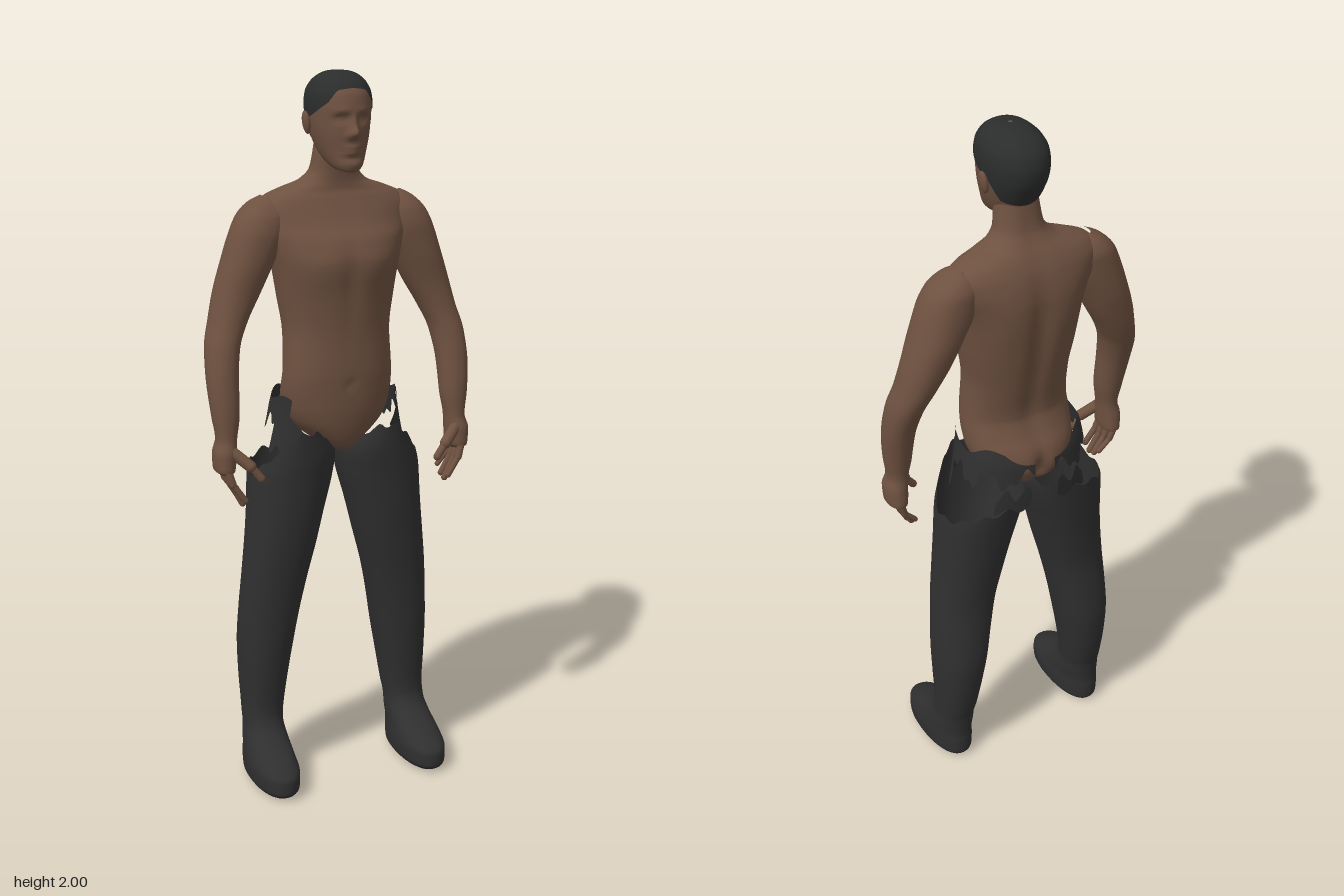
import * as THREE from 'three';

const skin = new THREE.MeshStandardMaterial({ color: 0x6e5140 });
skin.name = 'skin';
const cloth = new THREE.MeshStandardMaterial({ color: 0x2f2f2f, side: THREE.DoubleSide });
cloth.name = 'dark cloth';
const hairColour = new THREE.MeshStandardMaterial({ color: 0x2b2c2c, side: THREE.DoubleSide });
hairColour.name = 'hair';

// Cross-sections: [y, xMin, xMax, zBack, zFront]
const symmetric = rows => rows.map(([y, w, b, f]) => [y, -w, w, b, f]);

const TORSO = symmetric([
  [0.965, 0.006, -0.06, 0.02], [0.985, 0.05, -0.13, 0.05], [1.02, 0.1, -0.16, 0.067],
  [1.06, 0.138, -0.172, 0.077], [1.1, 0.152, -0.163, 0.083], [1.15, 0.156, -0.135, 0.086],
  [1.2, 0.154, -0.118, 0.088], [1.3, 0.15, -0.135, 0.086], [1.4, 0.163, -0.155, 0.092],
  [1.5, 0.18, -0.165, 0.101], [1.56, 0.197, -0.166, 0.085], [1.6, 0.212, -0.162, 0.057],
  [1.64, 0.218, -0.152, 0.036], [1.67, 0.195, -0.139, 0.022], [1.69, 0.15, -0.127, 0.013],
  [1.71, 0.095, -0.112, 0.012], [1.74, 0.067, -0.095, 0.015], [1.78, 0.06, -0.086, 0.02],
  [1.82, 0.055, -0.08, 0.02],
]);
const HEAD = symmetric([
  [1.742, 0.008, 0.05, 0.085], [1.748, 0.03, 0.02, 0.096], [1.765, 0.046, -0.03, 0.101],
  [1.8, 0.062, -0.075, 0.098], [1.84, 0.073, -0.1, 0.1], [1.88, 0.079, -0.117, 0.101],
  [1.91, 0.081, -0.121, 0.102], [1.94, 0.078, -0.115, 0.097], [1.965, 0.067, -0.097, 0.083],
  [1.985, 0.047, -0.066, 0.058], [1.994, 0.027, -0.04, 0.034], [1.997, 0.002, -0.005, 0.0],
]);
const ARM = [
  [1.675, 0.175, 0.2, -0.08, -0.04], [1.655, 0.145, 0.238, -0.11, -0.01], [1.62, 0.13, 0.272, -0.125, 0.015],
  [1.57, 0.14, 0.295, -0.126, 0.025], [1.5, 0.175, 0.318, -0.125, 0.025], [1.42, 0.215, 0.343, -0.115, 0.02],
  [1.35, 0.255, 0.36, -0.1, 0.025], [1.28, 0.285, 0.378, -0.075, 0.04], [1.2, 0.297, 0.383, -0.045, 0.055],
  [1.1, 0.302, 0.376, -0.02, 0.065], [1.04, 0.312, 0.368, -0.01, 0.065], [1, 0.315, 0.378, -0.015, 0.075],
  [0.955, 0.32, 0.375, -0.018, 0.075], [0.938, 0.335, 0.355, 0.01, 0.045],
].reverse();
const LEG = [
  [0, 0.222, 0.232, -0.02, 0.09], [0.003, 0.178, 0.278, -0.093, 0.162], [0.025, 0.162, 0.293, -0.108, 0.184],
  [0.06, 0.16, 0.295, -0.108, 0.182], [0.09, 0.163, 0.291, -0.105, 0.14], [0.125, 0.165, 0.285, -0.107, 0.07],
  [0.16, 0.167, 0.28, -0.11, 0.03], [0.2, 0.162, 0.28, -0.12, 0.017], [0.3, 0.147, 0.284, -0.138, 0.025],
  [0.4, 0.13, 0.286, -0.147, 0.035], [0.5, 0.112, 0.282, -0.14, 0.042], [0.6, 0.09, 0.275, -0.132, 0.05],
  [0.7, 0.064, 0.265, -0.138, 0.06], [0.8, 0.04, 0.256, -0.15, 0.068], [0.9, 0.014, 0.25, -0.163, 0.073],
  [0.96, 0.006, 0.235, -0.17, 0.078], [1.03, 0.04, 0.21, -0.178, 0.08], [1.1, 0.075, 0.19, -0.18, 0.082],
];
const WAIST = symmetric([
  [0.94, 0.215, -0.18, 0.08], [1.02, 0.195, -0.186, 0.085], [1.08, 0.183, -0.184, 0.089], [1.15, 0.172, -0.16, 0.092],
]);

// Smooth interpolation of the sections at height y, without overshoot
function sectionAt(keys, y) {
  let i = 0;
  while (i < keys.length - 2 && y > keys[i + 1][0]) i++;
  const h = keys[i + 1][0] - keys[i][0];
  const t = THREE.MathUtils.clamp((y - keys[i][0]) / h, 0, 1);
  return [1, 2, 3, 4].map(c => {
    const slope = k => (keys[k + 1][c] - keys[k][c]) / (keys[k + 1][0] - keys[k][0]);
    const tangent = k => {
      if (k === 0) return slope(0);
      if (k === keys.length - 1) return slope(k - 1);
      const a = slope(k - 1), b = slope(k);
      return a * b <= 0 ? 0 : 2 * a * b / (a + b);
    };
    const t2 = t * t, t3 = t2 * t;
    return (2 * t3 - 3 * t2 + 1) * keys[i][c] + (t3 - 2 * t2 + t) * h * tangent(i)
      + (3 * t2 - 2 * t3) * keys[i + 1][c] + (t3 - t2) * h * tangent(i + 1);
  });
}

// Skin over the sections; angle 0 is the front and 90 degrees is +x
function surface(keys, o = {}) {
  const { from = 0, to = 360, segments = 48, steps = 4, grow = 0, power = 2.2, deform } = o;
  const first = keys[0][0], last = keys[keys.length - 1][0];
  const low = o.low || (() => first), high = o.high || (() => last);
  const closed = to - from === 360, cols = closed ? segments : segments + 1;
  const rows = [0];
  for (let k = 0; k < keys.length - 1; k++) for (let s = 1; s <= steps; s++) {
    rows.push((keys[k][0] + (keys[k + 1][0] - keys[k][0]) * s / steps - first) / (last - first));
  }
  const round = v => Math.sign(v) * Math.abs(v) ** (2 / power);
  const positions = [], index = [], p = new THREE.Vector3();
  rows.forEach((r, j) => {
    for (let i = 0; i < cols; i++) {
      const deg = from + (to - from) * i / segments, a = deg * Math.PI / 180;
      const y = low(deg) + r * (high(deg) - low(deg));
      const [x0, x1, z0, z1] = sectionAt(keys, y);
      p.set((x0 + x1) / 2 + ((x1 - x0) / 2 + grow) * round(Math.sin(a)), y,
        (z0 + z1) / 2 + ((z1 - z0) / 2 + grow) * round(Math.cos(a)));
      if (deform) deform(p, Math.cos(a));
      positions.push(p.x, p.y, p.z);
      if (j && (closed || i < segments)) {
        const n = (i + 1) % cols, A = (j - 1) * cols, B = j * cols;
        index.push(A + i, A + n, B + n, A + i, B + n, B + i);
      }
    }
  });
  const g = new THREE.BufferGeometry();
  g.setAttribute('position', new THREE.Float32BufferAttribute(positions, 3));
  g.setIndex(index);
  g.computeVertexNormals();
  return g;
}

function mirrored(geometry) {
  const g = geometry.clone().scale(-1, 1, 1), ix = g.index.array;
  for (let i = 0; i < ix.length; i += 3) [ix[i], ix[i + 1]] = [ix[i + 1], ix[i]];
  g.computeVertexNormals();
  return g;
}

// Rounded rod between two points
function rod(a, b, radius) {
  const A = new THREE.Vector3(...a), d = new THREE.Vector3(...b).sub(A);
  const q = new THREE.Quaternion().setFromUnitVectors(new THREE.Vector3(0, 1, 0), d.clone().normalize());
  return new THREE.CapsuleGeometry(radius, d.length(), 5, 12).applyQuaternion(q)
    .translate(A.x + d.x / 2, A.y + d.y / 2, A.z + d.z / 2);
}

const bump = (x, y, cx, cy, w, h) => Math.exp(-(((x - cx) / w) ** 2) - ((y - cy) / h) ** 2);

// Chest, navel and spine relief
function shapeTorso(p, front) {
  const x = Math.abs(p.x), { y } = p;
  if (front > 0) {
    p.z += front * (0.008 * bump(x, y, 0.085, 1.49, 0.06, 0.05) - 0.006 * bump(x, y, 0, 1.45, 0.02, 0.12)
      - 0.006 * bump(x, y, 0, 1.17, 0.012, 0.014));
  } else {
    p.z -= front * (0.016 * bump(x, y, 0, 1.4, 0.028, 0.24) + 0.03 * bump(x, y, 0, 1.03, 0.016, 0.05)
      - 0.008 * bump(x, y, 0.1, 1.52, 0.05, 0.08));
  }
}

// Nose, brow, eye sockets, lips and cheeks
function shapeFace(p, front) {
  if (front <= 0) return;
  const x = Math.abs(p.x), { y } = p;
  p.z += 0.026 * bump(x, y, 0, 1.846, 0.013, 0.015) + 0.012 * bump(x, y, 0, 1.868, 0.009, 0.022)
    + 0.005 * bump(x, y, 0.015, 1.84, 0.009, 0.008) - 0.011 * bump(x, y, 0.031, 1.882, 0.016, 0.011)
    + 0.004 * bump(x, y, 0.03, 1.903, 0.025, 0.01) + 0.005 * bump(x, y, 0.031, 1.882, 0.009, 0.005)
    + 0.008 * bump(x, y, 0, 1.809, 0.02, 0.006) + 0.007 * bump(x, y, 0, 1.795, 0.018, 0.006)
    - 0.005 * bump(x, y, 0, 1.78, 0.03, 0.007);
}

// Hair edge: high on the brow, down past the ears to the nape
function hairline(deg) {
  const d = Math.min(deg, 360 - deg);
  const points = [[0, 1.957], [28, 1.952], [45, 1.92], [75, 1.89], [100, 1.87], [125, 1.82], [180, 1.805]];
  const i = points.findIndex((q, k) => k && d <= q[0]);
  const [a, b] = [points[i - 1], points[i]];
  return THREE.MathUtils.lerp(a[1], b[1], (d - a[0]) / (b[0] - a[0]));
}

// Torn top edge of a trouser leg: high in front, low at the hip
function tornLeg(deg) {
  const c = Math.cos(deg * Math.PI / 180), s = Math.sin(deg * Math.PI / 180);
  const edge = 0.945 + 0.095 * Math.max(0, c) ** 1.5 - 0.035 * Math.max(0, s) ** 2 + 0.02 * Math.max(0, -s);
  return edge + 0.008 * Math.sin(deg * 0.21);
}

export function createModel() {
  const model = new THREE.Group();
  const add = (parent, name, geometry, material) => {
    const mesh = new THREE.Mesh(geometry, material);
    mesh.name = name;
    parent.add(mesh);
  };

  add(model, 'torso', surface(TORSO, { segments: 72, deform: shapeTorso }), skin);
  add(model, 'head', surface(HEAD, { segments: 112, steps: 6, deform: shapeFace }), skin);
  add(model, 'hair', surface(HEAD, { segments: 72, low: hairline, grow: 0.003,
    deform: p => { p.y += 0.003; } }), hairColour);

  // Parts built on the left, then mirrored to the right
  const pairs = [
    ['Ear', new THREE.SphereGeometry(1, 16, 12).scale(0.01, 0.031, 0.018).rotateZ(-0.15).translate(0.086, 1.866, -0.018), skin],
    ['Arm', surface(ARM, { segments: 36 }), skin],
    ['TrouserLeg', surface(LEG, { high: tornLeg, segments: 60 }), cloth],
    // Torn waistband, its hip flap and the scrap on the outer thigh
    ['Waistband', surface(WAIST, { from: 58, to: 172, segments: 60, steps: 5,
      low: d => 1.045 + 0.022 * Math.sin(d * 0.16) + 0.012 * Math.sin(d * 0.43),
      high: d => 1.125 + 0.01 * Math.sin(d * 0.11) - (d > 145 ? (d - 145) * 0.0015 : 0) }), cloth],
    ['HipFlap', surface(WAIST, { from: 40, to: 78, segments: 24, grow: 0.002,
      low: d => 0.985 + 0.012 * Math.sin(d * 0.4), high: d => 1.04 + (d - 40) * 0.0024 }), cloth],
    ['SeatScrap', surface(WAIST, { from: 140, to: 170, segments: 24, grow: 0.002,
      low: d => 0.945 + 0.01 * Math.sin(d * 0.3), high: d => 1.0 + 0.02 * Math.sin(d * 0.35) }), cloth],
  ];
  // Fingers hang in a row along z, slightly curled inward
  [[-0.008, 0.885, 0.009], [0.016, 0.865, 0.0105], [0.04, 0.858, 0.011], [0.063, 0.872, 0.0105]].forEach(([z, tip, r], i) => {
    pairs.push([`Finger${i + 1}Base`, rod([0.35, 0.965, z], [0.337, 0.92, z + 0.006], r), skin]);
    pairs.push([`Finger${i + 1}Tip`, rod([0.337, 0.92, z + 0.006], [0.304, tip, z + 0.01], r * 0.85), skin]);
  });
  pairs.push(['ThumbBase', rod([0.335, 1.01, 0.055], [0.29, 0.97, 0.082], 0.016), skin]);
  pairs.push(['ThumbTip', rod([0.29, 0.97, 0.082], [0.262, 0.935, 0.088], 0.011), skin]);

  for (const [name, geometry, material] of pairs) {
    add(model, 'left' + name, geometry, material);
    add(model, 'right' + name, mirrored(geometry), material);
  }
  return model;
}
